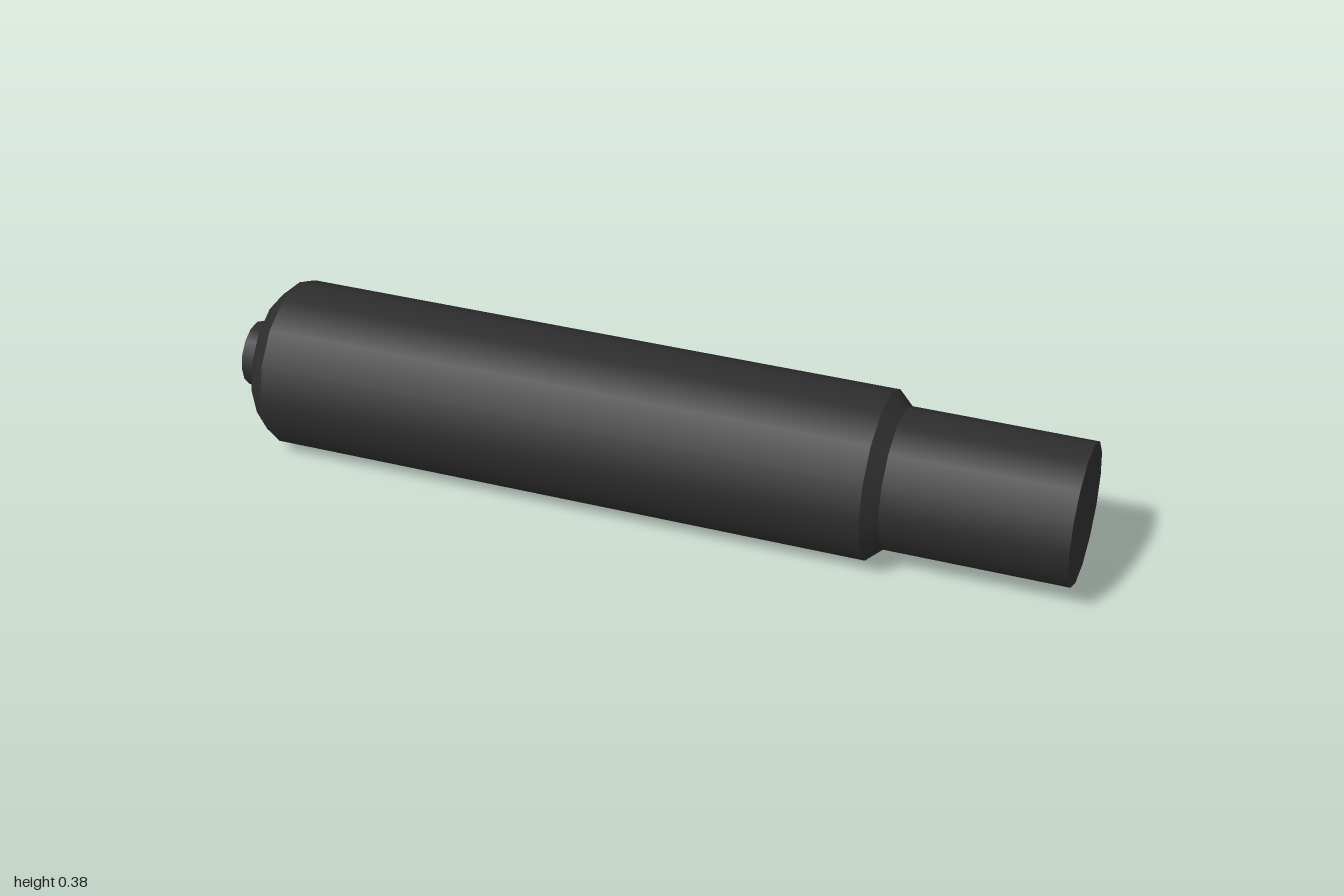
import * as THREE from 'three';

const SIDES = 14;

export function createModel() {
  const group = new THREE.Group();
  const black = new THREE.MeshStandardMaterial({ color: 0x2e2e2e });
  black.name = 'matte black';

  // Each part is turned from [x, radius] points, ordered towards +x
  function turned(name, points) {
    const profile = points.map(([x, r]) => new THREE.Vector2(r, x));
    const geometry = new THREE.LatheGeometry(profile, SIDES);
    geometry.rotateZ(-Math.PI / 2);
    const mesh = new THREE.Mesh(geometry, black);
    mesh.name = name;
    mesh.position.y = 0.19;
    group.add(mesh);
  }

  // Small tip at the -x end
  turned('tipCap', [[-1, 0], [-1, 0.077]]);
  turned('tip', [[-1, 0.077], [-0.97, 0.077]]);

  // Rounded nose and main barrel
  turned('nose', [[-0.97, 0.077], [-0.935, 0.157], [-0.893, 0.195]]);
  turned('barrel', [[-0.893, 0.195], [0.543, 0.195]]);

  // Bevel down to the narrower neck, closed by a flat end
  turned('bevel', [[0.543, 0.195], [0.578, 0.163]]);
  turned('neck', [[0.578, 0.163], [1, 0.163]]);
  turned('neckCap', [[1, 0.163], [1, 0]]);

  return group;
}
